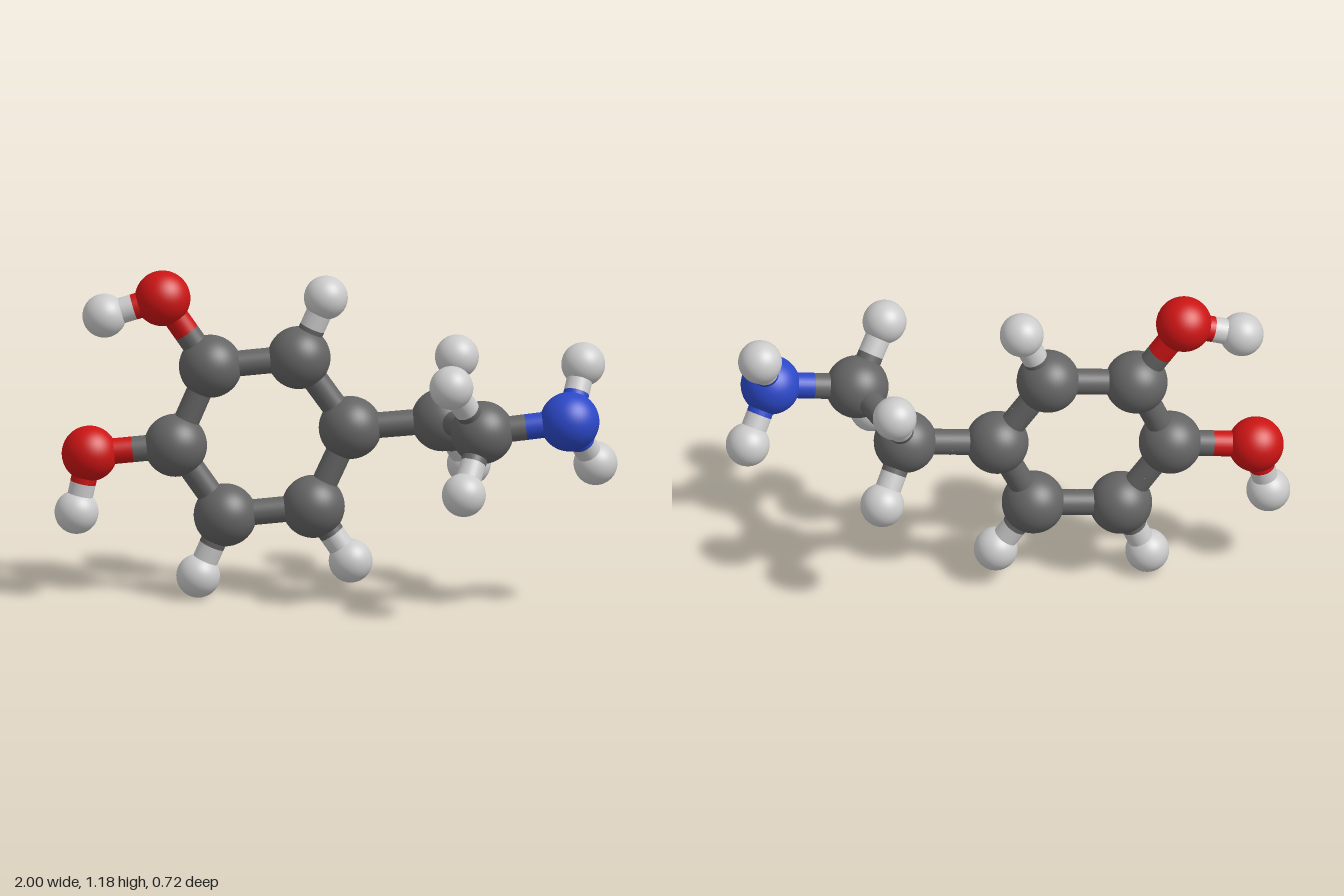
import * as THREE from 'three';

// Atom kinds: radius and colour
const KINDS = {
  carbon: { radius: 0.112, color: 0x646464 },
  oxygen: { radius: 0.099, color: 0xcc1414 },
  nitrogen: { radius: 0.106, color: 0x2c48c8 },
  hydrogen: { radius: 0.078, color: 0xcccccc },
};

// Atom centres
const ATOMS = {
  ringCarbon1: ['carbon', 0.03, 0.612, -0.085],
  ringCarbon2: ['carbon', -0.15, 0.867, -0.058],
  ringCarbon3: ['carbon', -0.459, 0.837, 0.0],
  ringCarbon4: ['carbon', -0.578, 0.553, 0.04],
  ringCarbon5: ['carbon', -0.403, 0.3, 0.017],
  ringCarbon6: ['carbon', -0.096, 0.329, -0.042],
  chainCarbon1: ['carbon', 0.353, 0.64, -0.14],
  chainCarbon2: ['carbon', 0.543, 0.67, 0.142],
  upperOxygen: ['oxygen', -0.628, 1.083, 0.019],
  lowerOxygen: ['oxygen', -0.879, 0.523, 0.09],
  nitrogen: ['nitrogen', 0.847, 0.707, 0.082],
  upperOxygenHydrogen: ['hydrogen', -0.831, 1.021, 0.058],
  lowerOxygenHydrogen: ['hydrogen', -0.922, 0.313, 0.113],
  ringHydrogen2: ['hydrogen', -0.058, 1.083, -0.087],
  ringHydrogen5: ['hydrogen', -0.496, 0.08, 0.042],
  ringHydrogen6: ['hydrogen', 0.036, 0.132, -0.058],
  chainHydrogen1Upper: ['hydrogen', 0.381, 0.838, -0.282],
  chainHydrogen1Lower: ['hydrogen', 0.426, 0.452, -0.271],
  chainHydrogen2Upper: ['hydrogen', 0.454, 0.862, 0.277],
  chainHydrogen2Lower: ['hydrogen', 0.5, 0.474, 0.284],
  amineHydrogenUpper: ['hydrogen', 0.876, 0.889, -0.039],
  amineHydrogenLower: ['hydrogen', 0.92, 0.529, -0.039],
};

// Atom pairs joined by a bond
const BONDS = [
  ['ringCarbon1', 'ringCarbon2'], ['ringCarbon2', 'ringCarbon3'],
  ['ringCarbon3', 'ringCarbon4'], ['ringCarbon4', 'ringCarbon5'],
  ['ringCarbon5', 'ringCarbon6'], ['ringCarbon6', 'ringCarbon1'],
  ['ringCarbon1', 'chainCarbon1'], ['chainCarbon1', 'chainCarbon2'],
  ['chainCarbon2', 'nitrogen'],
  ['ringCarbon3', 'upperOxygen'], ['ringCarbon4', 'lowerOxygen'],
  ['upperOxygen', 'upperOxygenHydrogen'], ['lowerOxygen', 'lowerOxygenHydrogen'],
  ['ringCarbon2', 'ringHydrogen2'], ['ringCarbon5', 'ringHydrogen5'],
  ['ringCarbon6', 'ringHydrogen6'],
  ['chainCarbon1', 'chainHydrogen1Upper'], ['chainCarbon1', 'chainHydrogen1Lower'],
  ['chainCarbon2', 'chainHydrogen2Upper'], ['chainCarbon2', 'chainHydrogen2Lower'],
  ['nitrogen', 'amineHydrogenUpper'], ['nitrogen', 'amineHydrogenLower'],
];

const BOND_RADIUS = 0.046;
const UP = new THREE.Vector3(0, 1, 0);

export function createModel() {
  const model = new THREE.Group();
  model.name = 'molecule';

  // One material and one sphere per kind of atom
  const materials = {};
  const spheres = {};
  for (const [kind, { radius, color }] of Object.entries(KINDS)) {
    materials[kind] = new THREE.MeshStandardMaterial({ color });
    spheres[kind] = new THREE.SphereGeometry(radius, 40, 28);
  }
  const rod = new THREE.CylinderGeometry(BOND_RADIUS, BOND_RADIUS, 1, 28, 1, true);

  // Atoms
  const atoms = {};
  for (const [name, [kind, x, y, z]] of Object.entries(ATOMS)) {
    const atom = new THREE.Mesh(spheres[kind], materials[kind]);
    atom.name = name;
    atom.position.set(x, y, z);
    atoms[name] = { kind, position: atom.position };
    model.add(atom);
  }

  // Half a bond, coloured like the atom it starts from
  const halfBond = (from, end, name) => {
    const direction = end.clone().sub(from.position);
    const mesh = new THREE.Mesh(rod, materials[from.kind]);
    mesh.name = name;
    mesh.position.copy(from.position).lerp(end, 0.5);
    mesh.scale.y = direction.length();
    mesh.quaternion.setFromUnitVectors(UP, direction.normalize());
    return mesh;
  };

  // Bonds, split in colour at their middle
  for (const [a, b] of BONDS) {
    const middle = atoms[a].position.clone().lerp(atoms[b].position, 0.5);
    const bond = new THREE.Group();
    bond.name = `bond ${a} to ${b}`;
    bond.add(halfBond(atoms[a], middle, 'bondStart'), halfBond(atoms[b], middle, 'bondEnd'));
    model.add(bond);
  }
  return model;
}
